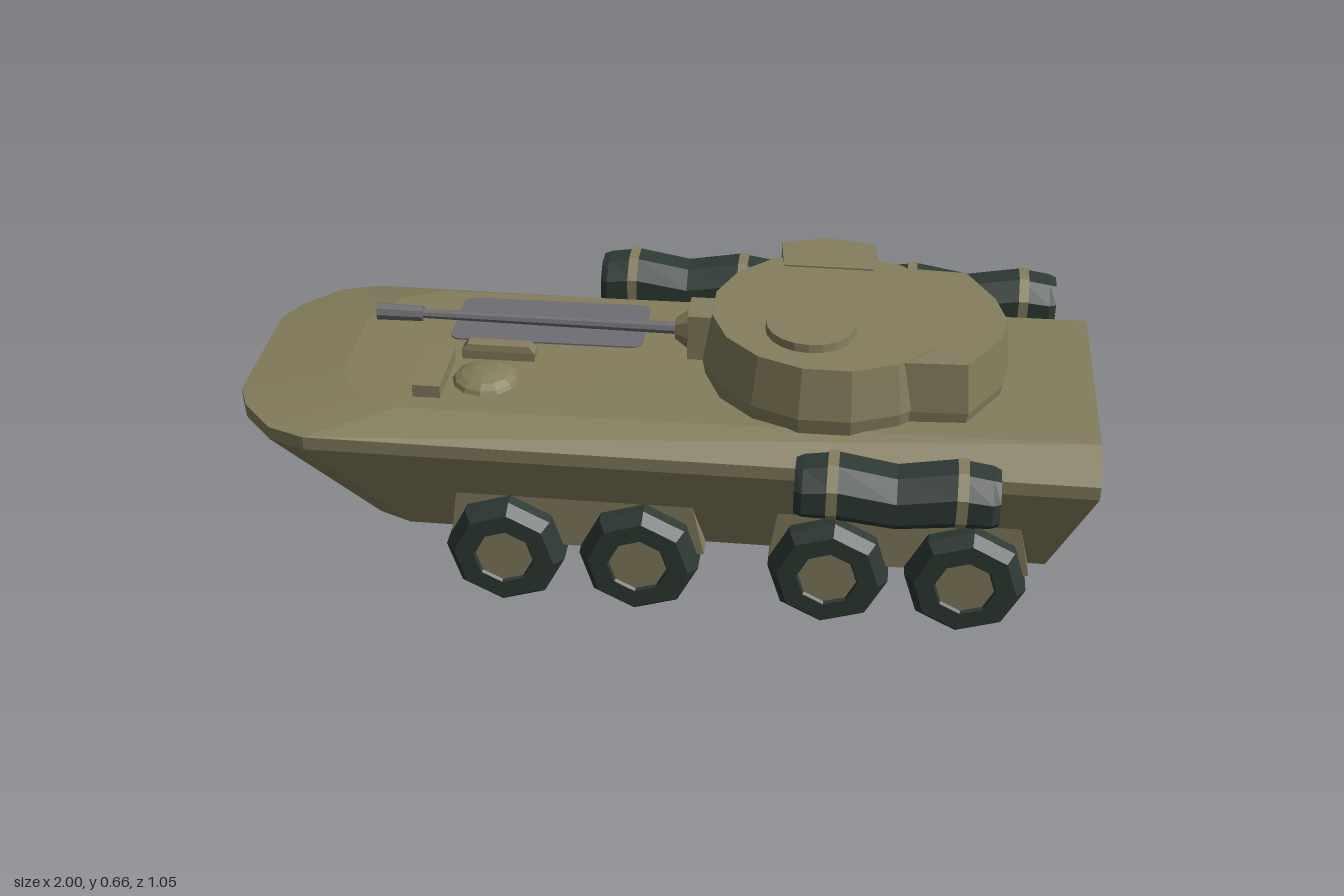
import * as THREE from 'three';

const paint = (name, color) => {
  const m = new THREE.MeshStandardMaterial({ color, flatShading: true });
  m.name = name;
  return m;
};

// Skin between rings of points (counter-clockwise seen from the last ring's side)
function loft(rings, { start = true, end = true, skip = () => false } = {}) {
  const pos = [];
  const tri = (...pts) => pts.forEach(p => pos.push(p[0], p[1], p[2]));
  const n = rings[0].length;
  for (let r = 0; r < rings.length - 1; r++) {
    const a = rings[r], b = rings[r + 1];
    for (let i = 0; i < n; i++) {
      if (skip(r, i)) continue;
      const j = (i + 1) % n;
      tri(a[i], a[j], b[j]);
      tri(a[i], b[j], b[i]);
    }
  }
  const first = rings[0], last = rings[rings.length - 1];
  for (let i = 1; i < n - 1; i++) {
    if (start) tri(first[0], first[i + 1], first[i]);
    if (end) tri(last[0], last[i], last[i + 1]);
  }
  const g = new THREE.BufferGeometry();
  g.setAttribute('position', new THREE.Float32BufferAttribute(pos, 3));
  g.computeVertexNormals();
  return g;
}

const circle = (n, offset, fn) => Array.from({ length: n }, (_, i) => {
  const a = offset + i / n * Math.PI * 2;
  return fn(Math.cos(a), Math.sin(a));
});

export function createModel() {
  const model = new THREE.Group();
  const olive = paint('olive paint', 0x857e5d);
  const dark = paint('dark green rubber and canvas', 0x2f3a35);
  const grey = paint('gunmetal grey', 0x6f6e74);

  const add = (name, geo, mat, x = 0, y = 0, z = 0, parent = model) => {
    const m = new THREE.Mesh(geo, mat);
    m.name = name;
    m.position.set(x, y, z);
    parent.add(m);
    return m;
  };
  const box = (name, mat, x0, x1, y0, y1, z0, z1) =>
    add(name, new THREE.BoxGeometry(x1 - x0, y1 - y0, z1 - z0), mat,
      (x0 + x1) / 2, (y0 + y1) / 2, (z0 + z1) / 2);

  // Hull: mirrored half outlines at four heights, nose at -x
  const deckY = x => 0.487 + 0.01 * x;
  const level = (half, yAt) => {
    const right = half.map(([x, z]) => [x, yAt(x), -z]);
    const left = half.map(([x, z]) => [x, yAt(x), z]).reverse();
    return [...right, ...left];
  };
  const floor = [[0.91, 0.265], [-0.59, 0.265], [-0.67, 0.23], [-0.72, 0.16], [-0.74, 0.12]];
  const belt = [[1, 0.364], [-0.8, 0.364], [-0.89, 0.33], [-0.97, 0.24], [-1, 0.17]];
  const deck = [[1, 0.28], [-0.6, 0.28], [-0.69, 0.24], [-0.74, 0.18], [-0.76, 0.12]];
  const hull = [level(floor, () => 0.15), level(belt, () => 0.405),
    level(belt, () => 0.438), level(deck, deckY)];
  add('hull', loft(hull, { skip: (r, i) => r === 0 && i === 9 }), olive);

  // Sunken rear plate with a thin rim
  const rim = [[0.91, 0.15, 0.265], [0.91, 0.15, -0.265], [1, 0.405, -0.364], [1, 0.405, 0.364]];
  const inner = [[0.914, 0.161, 0.255], [0.914, 0.161, -0.255], [0.998, 0.4, -0.348], [0.998, 0.4, 0.348]];
  const sunk = inner.map(([x, y, z]) => [x - 0.02, y, z]);
  add('rearPlate', loft([rim, inner, sunk], { start: false }), olive);

  // Upright panels behind each pair of wheels
  const arch = new THREE.Shape([[-0.48, 0.149], [0.12, 0.149], [0.09, 0.288], [-0.46, 0.288]]
    .map(p => new THREE.Vector2(...p)));
  const archGeo = new THREE.ExtrudeGeometry(arch, { depth: 0.63, bevelEnabled: false });
  for (const x of [0, 0.75]) add('wheelArch', archGeo, olive, x, 0, -0.315);

  // Wheels: eight-sided tyres with olive hubs
  const wheelRing = (r, z) => circle(8, 0.7, (c, s) => [c * r, s * r, z]);
  const tyreGeo = loft([wheelRing(0.118, 0.22), wheelRing(0.14, 0.247), wheelRing(0.14, 0.345),
    wheelRing(0.118, 0.371), wheelRing(0.072, 0.371), wheelRing(0.067, 0.363)], { end: false });
  const hubGeo = loft([wheelRing(0.068, 0.33), wheelRing(0.068, 0.364)]);
  for (const side of [0, 1]) {
    for (const x of [-0.345, -0.03, 0.41, 0.725]) {
      const wheel = new THREE.Group();
      wheel.name = 'wheel';
      wheel.position.set(x, 0.141, 0);
      wheel.rotation.y = side * Math.PI;
      add('tyre', tyreGeo, dark, 0, 0, 0, wheel);
      add('hub', hubGeo, olive, 0, 0, 0, wheel);
      model.add(wheel);
    }
  }

  // Strapped canvas rolls along the sides
  const rollRing = (x, y, ry, rz) => circle(8, Math.PI / 8, (c, s) =>
    [x, y + s * ry * 1.08, -c * rz * 1.08]);
  const rollGeo = loft([[-0.222, 0.45, 0.058, 0.06], [-0.205, 0.451, 0.063, 0.073],
    [-0.13, 0.456, 0.07, 0.073], [0, 0.437, 0.066, 0.073], [0.13, 0.456, 0.07, 0.073],
    [0.205, 0.451, 0.063, 0.073], [0.222, 0.45, 0.058, 0.06]].map(p => rollRing(...p)));
  const strapGeo = loft([rollRing(-0.012, 0.456, 0.072, 0.075), rollRing(0.012, 0.456, 0.072, 0.075)]);
  for (const [x, z] of [[0.553, 0.447], [0.003, -0.452], [0.713, -0.452]]) {
    add('canvasRoll', rollGeo, dark, x, 0, z);
    for (const s of [-0.14, 0.14]) add('rollStrap', strapGeo, olive, x + s, 0, z);
  }

  // Turret body, bustle and side stowage box
  const turretRing = (r, y) => circle(16, Math.PI / 16, (c, s) => [0.385 + c * r, y, -s * r]);
  add('turret', loft([turretRing(0.295, 0.48), turretRing(0.303, 0.525), turretRing(0.282, 0.646)]), olive);
  const plan = (pts, cx, cz, k, y) => pts.map(([x, z]) => [cx + (x - cx) * k, y, cz + (z - cz) * k]);
  const bustle = [[0.8, 0], [0.775, -0.1], [0.705, -0.228], [0.56, -0.235], [0.45, 0],
    [0.56, 0.23], [0.705, 0.222], [0.785, 0.09]];
  add('turretBustle', loft([plan(bustle, 0.45, 0, 0.98, 0.485), plan(bustle, 0.45, 0, 1, 0.52),
    plan(bustle, 0.45, 0, 0.965, 0.643)]), olive);
  const bin = [[0.48, -0.2], [0.485, -0.335], [0.36, -0.362], [0.24, -0.325], [0.25, -0.2]];
  add('turretBin', loft([plan(bin, 0.37, -0.2, 1, 0.502), plan(bin, 0.37, -0.2, 0.94, 0.65)]), olive);
  add('turretHatch', new THREE.CylinderGeometry(0.103, 0.105, 0.03, 20), olive, 0.34, 0.651, 0.103);

  // Gun and its mount
  box('gunMount', olive, 0.05, 0.13, 0.515, 0.63, -0.05, 0.045);
  const rod = (name, mat, x0, x1, r0, r1) => {
    const g = new THREE.CylinderGeometry(r1, r0, x1 - x0, 8);
    g.rotateZ(-Math.PI / 2);
    add(name, g, mat, (x0 + x1) / 2, 0.571, -0.002);
  };
  rod('gunCollar', olive, 0.018, 0.052, 0.026, 0.05);
  rod('gunBarrel', grey, -0.6, 0.03, 0.011, 0.015);
  rod('muzzle', grey, -0.7, -0.59, 0.021, 0.019);

  // Grey deck panel with rounded corners
  const w = 0.235, h = 0.103, c = 0.025;
  const panel = new THREE.Shape();
  panel.moveTo(-w + c, -h);
  for (const [x, y, a] of [[w - c, -h + c, -0.5], [w - c, h - c, 0], [-w + c, h - c, 0.5], [-w + c, -h + c, 1]])
    panel.absarc(x, y, c, a * Math.PI, (a + 0.5) * Math.PI, false);
  const panelGeo = new THREE.ExtrudeGeometry(panel, { depth: 0.006, bevelEnabled: false, curveSegments: 3 });
  panelGeo.rotateX(-Math.PI / 2);
  add('deckPanel', panelGeo, grey, -0.305, deckY(-0.305) - 0.002, -0.143).rotation.z = 0.01;

  // Driver's dome and vision blocks
  const dome = new THREE.SphereGeometry(0.08, 12, 4, 0, Math.PI * 2, 0, Math.PI / 2);
  dome.scale(1, 0.38, 1);
  add('driverDome', dome, olive, -0.415, 0.481, 0.135);
  box('frontVisionBlock', olive, -0.57, -0.505, 0.47, 0.513, 0.05, 0.23);
  const block = [[-0.315, 0.047], [-0.315, 0.01], [-0.49, 0.01], [-0.49, 0.047]];
  add('sideVisionBlock', loft([plan(block, -0.4, 0.03, 1, 0.47), plan(block, -0.4, 0.03, 1, 0.505),
    plan(block, -0.4, 0.03, 0.85, 0.521)]), olive);

  return model;
}
